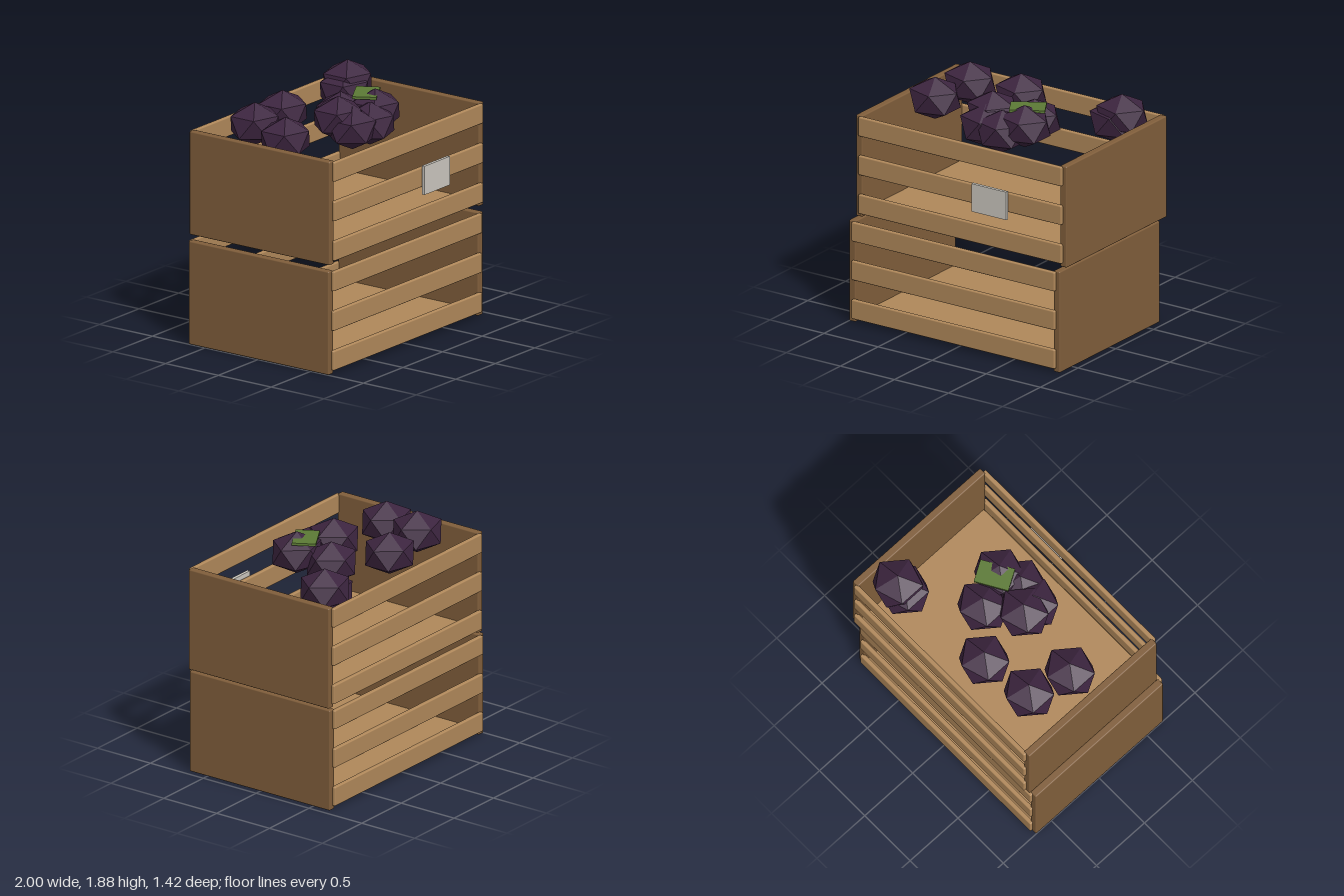
import * as THREE from 'three';
import { RoundedBoxGeometry } from 'three/addons/geometries/RoundedBoxGeometry.js';

const lightWood = new THREE.MeshStandardMaterial({ color: 0xb0885a });
lightWood.name = 'light wood';
const darkWood = new THREE.MeshStandardMaterial({ color: 0x805e3b });
darkWood.name = 'dark wood';
const purple = new THREE.MeshStandardMaterial({ color: 0x3d2540, flatShading: true });
purple.name = 'purple skin';
const green = new THREE.MeshStandardMaterial({ color: 0x5c7a35 });
green.name = 'leaf green';
const paleGrey = new THREE.MeshStandardMaterial({ color: 0xcac6be });
paleGrey.name = 'pale grey';

function board(name, material, size, position) {
  const mesh = new THREE.Mesh(new RoundedBoxGeometry(...size, 2, 0.01), material);
  mesh.name = name;
  mesh.position.set(...position);
  return mesh;
}

// Open crate: solid ends, floor, and three slats along the front and back
function crate(name, x, y, z) {
  const group = new THREE.Group();
  group.name = name;
  group.position.set(x, y, z);
  group.add(board('floor', lightWood, [1.88, 0.04, 1.3], [0, 0.032, 0]));
  for (const side of [-1, 1]) {
    group.add(board(side > 0 ? 'leftEnd' : 'rightEnd', darkWood,
      [0.06, 0.82, 1.33], [side * 0.945, 0.41, 0]));
    for (const slatY of [0.108, 0.423, 0.737]) {
      group.add(board(side > 0 ? 'frontSlat' : 'backSlat', lightWood,
        [1.88, 0.155, 0.036], [0, slatY, side * 0.671]));
    }
  }
  return group;
}

export function createModel() {
  const model = new THREE.Group();
  model.name = 'stackedProduceCrates';
  model.add(crate('lowerCrate', -0.025, 0, 0.005));
  model.add(crate('upperCrate', 0.02, 0.855, -0.02));

  // Squashed faceted fruit, with one corner pointing straight up
  const fruitShape = new THREE.IcosahedronGeometry(1, 0);
  fruitShape.rotateZ(Math.atan(2 / (1 + Math.sqrt(5))));
  fruitShape.rotateY(Math.PI);
  fruitShape.scale(0.224, 0.17, 0.208);
  const spots = [
    [-0.585, 1.708, -0.34], [-0.665, 1.675, 0.01], [-0.155, 1.687, -0.4],
    [-0.085, 1.71, 0.075], [0.18, 1.648, -0.1], [0.27, 1.697, 0.16],
    [-0.065, 1.645, 0.195], [0.11, 1.645, 0.23],
    [0.74, 1.698, -0.455], [0.685, 1.645, -0.445],
  ];
  for (const spot of spots) {
    const fruit = new THREE.Mesh(fruitShape, purple);
    fruit.name = 'fruit';
    fruit.position.set(...spot);
    model.add(fruit);
  }

  // Flat leaf resting over the tip of one fruit
  const leaf = new THREE.Mesh(new THREE.BoxGeometry(0.273, 0.02, 0.184), green);
  leaf.name = 'leaf';
  leaf.position.set(0.25, 1.823, 0.09);
  leaf.rotation.y = 0.53;
  model.add(leaf);

  // Blank label plate on the front
  const label = new THREE.Mesh(new THREE.BoxGeometry(0.32, 0.227, 0.025), paleGrey);
  label.name = 'labelPlate';
  label.position.set(0.32, 1.265, 0.697);
  model.add(label);

  return model;
}
